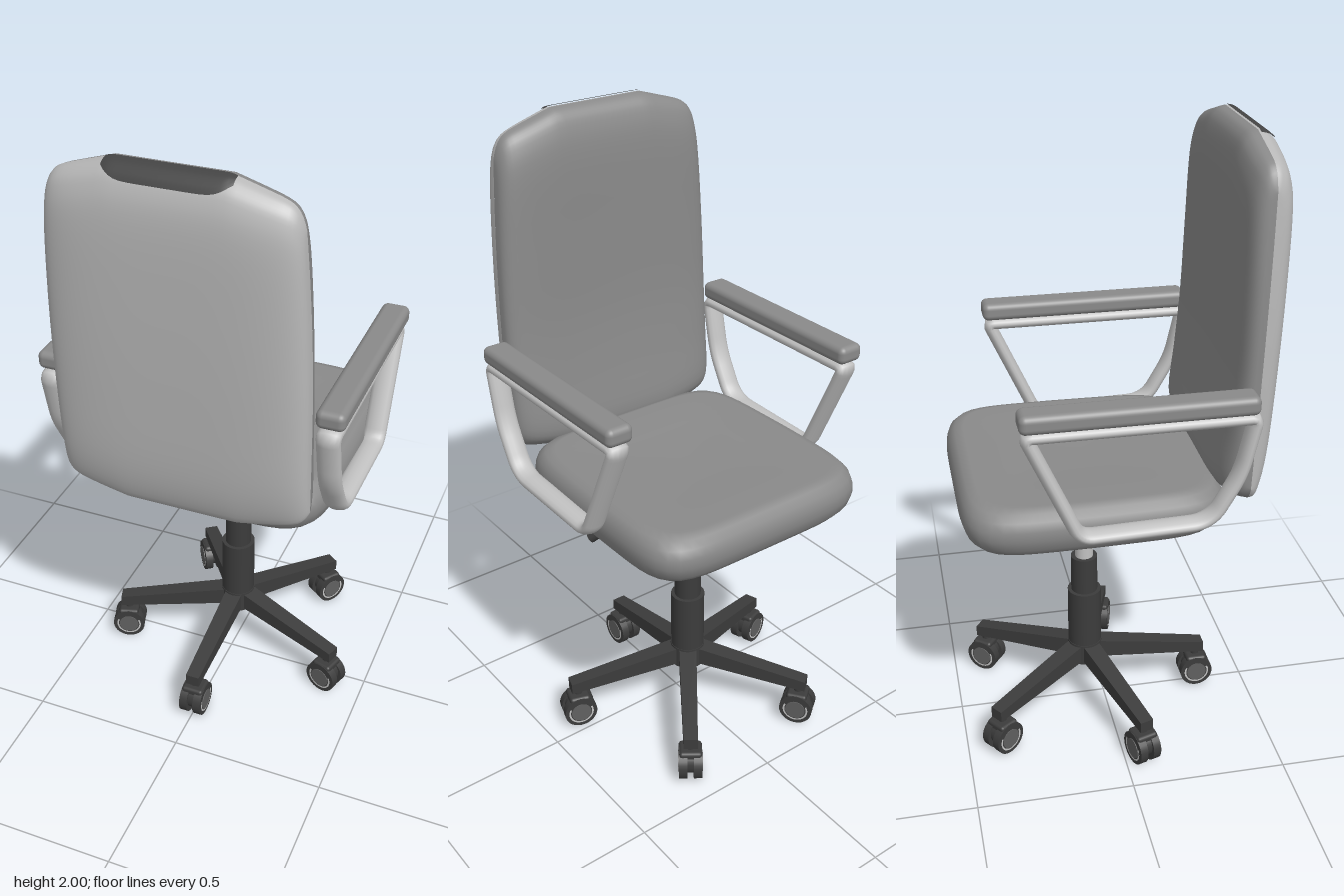
import * as THREE from 'three';
import { mergeVertices } from 'three/addons/utils/BufferGeometryUtils.js';
import { RoundedBoxGeometry } from 'three/addons/geometries/RoundedBoxGeometry.js';

const mat = (name, color) => new THREE.MeshStandardMaterial({ name, color });
const M = {
  cushion: mat('cushion grey', 0x8a8a8a),
  shell: mat('light shell grey', 0xb8b8b8),
  metal: mat('pale metal', 0xc2c2c2),
  dark: mat('dark plastic', 0x3c3c3c),
  patch: mat('head patch', 0x444444),
  hub: mat('wheel hub grey', 0x606060),
};
const v3 = (x, y, z) => new THREE.Vector3(x, y, z);

function add(parent, name, geometry, material, x = 0, y = 0, z = 0) {
  const m = new THREE.Mesh(geometry, material);
  m.name = name;
  m.position.set(x, y, z);
  parent.add(m);
  return m;
}

// Smooth surface from a rule fn(u, v) -> [x, y, z]
function surface(fn, nu, nv, flip = false) {
  const pos = [], idx = [];
  for (let j = 0; j <= nv; j++)
    for (let i = 0; i <= nu; i++) pos.push(...fn(i / nu, j / nv));
  for (let j = 0; j < nv; j++)
    for (let i = 0; i < nu; i++) {
      const a = j * (nu + 1) + i, b = a + 1, c = a + nu + 1, d = c + 1;
      idx.push(...(flip ? [a, d, b, a, c, d] : [a, b, d, a, d, c]));
    }
  let g = new THREE.BufferGeometry();
  g.setAttribute('position', new THREE.Float32BufferAttribute(pos, 3));
  g.setIndex(idx);
  g = mergeVertices(g, 1e-5);
  g.computeVertexNormals();
  return g;
}

// Cylinder between two points
function rod(parent, name, a, b, r0, r1, material, sides = 20) {
  const d = b.clone().sub(a);
  const m = add(parent, name, new THREE.CylinderGeometry(r1, r0, d.length(), sides), material);
  m.position.copy(a).addScaledVector(d, 0.5);
  m.quaternion.setFromUnitVectors(v3(0, 1, 0), d.normalize());
  return m;
}

// Backrest profiles as (z, y), running bottom seam to top seam
const spline = pts => new THREE.SplineCurve(pts.map(p => new THREE.Vector2(...p)));
const rearProfile = spline([[0.37, 0.9], [0.41, 0.92], [0.445, 1.05], [0.465, 1.3], [0.48, 1.6],
  [0.485, 1.85], [0.467, 1.95], [0.435, 1.99], [0.405, 2.0]]);
const frontProfile = spline([[0.37, 0.9], [0.31, 0.92], [0.273, 0.98], [0.29, 1.15], [0.307, 1.35],
  [0.314, 1.6], [0.32, 1.85], [0.34, 1.95], [0.37, 1.99], [0.405, 2.0]]);

function backPoint(profile, a, t, front) {
  const p = profile.getPoint(t), k = Math.abs(a);
  const depth = Math.pow(Math.max(0, 1 - k ** 4), 1 / 3);
  const drop = 0.09 * Math.max(0, (k - 0.45) / 0.45) + 0.11 * k ** 24;
  const y = 1.45 + (p.y - 1.45) * (1 - drop * (p.y < 1.45 ? 0.7 : 1));
  const seam = 0.37 + (p.y - 0.9) * 0.032;
  const dish = front ? 0.02 * (1 - k * k) * Math.sin(Math.PI * t) : 0;
  const w = 0.39 - 0.028 * Math.max(0, (p.y - 1.2) / 0.8) ** 2;
  return [a * w, y, seam + (p.x - seam + dish) * depth];
}

function backrest() {
  const g = new THREE.Group();
  g.name = 'backrest';
  const across = u => u === 0 ? -1 : u === 1 ? 1 : Math.sin(Math.PI * (u - 0.5));
  add(g, 'backShell', surface((u, v) => backPoint(rearProfile, across(u), v, false), 40, 40), M.shell);
  add(g, 'backCushion', surface((u, v) => backPoint(frontProfile, across(u), v, true), 40, 40, true), M.cushion);
  // Dark patch hugging the rear top edge
  add(g, 'headPatch', surface((u, v) => {
    const s = 2 * u - 1, t0 = 0.76 + 0.1 * s ** 8;
    const [x, y, z] = backPoint(rearProfile, 0.5 * s, t0 + (1 - t0) * v, false);
    return [x, y + 0.003, z + 0.004];
  }, 24, 10), M.patch);
  return g;
}

// Pillow seat: rounded outline scaled along a cushion profile (scale, y)
function seat() {
  const rows = [[0, 0.82], [0.6, 0.82], [0.86, 0.823], [0.93, 0.832], [0.975, 0.855], [1, 0.89], [0.997, 0.92],
    [0.975, 0.948], [0.93, 0.968], [0.86, 0.977], [0.5, 0.968], [0, 0.96]];
  const n = 6, hx = 0.405, hz = 0.407;
  return surface((u, v) => {
    const [s, y] = rows[Math.round(v * (rows.length - 1))];
    const a = u === 1 ? 0 : u * Math.PI * 2, c = Math.cos(a), d = Math.sin(a);
    const r = s * (Math.abs(c / hx) ** n + Math.abs(d / hz) ** n) ** (-1 / n);
    const z = r * d - 0.078;
    return [r * c * (1 - 0.06 * Math.max(0, z + 0.1)), y, z];
  }, 88, rows.length - 1, true);
}

// Closed loop with rounded corners in the side plane, corners as (z, y, radius)
function roundedLoop(corners) {
  const path = new THREE.CurvePath(), n = corners.length;
  const bends = corners.map(([z, y, r], i) => {
    const p = v3(0, y, z), toward = j => {
      const q = corners[(j + n) % n];
      return p.clone().add(v3(0, q[1], q[0]).sub(p).setLength(r));
    };
    return [toward(i - 1), p, toward(i + 1)];
  });
  bends.forEach((b, i) => {
    path.add(new THREE.QuadraticBezierCurve3(...b));
    path.add(new THREE.LineCurve3(b[2], bends[(i + 1) % n][0]));
  });
  return path;
}

function armrest(side) {
  const g = new THREE.Group();
  g.name = side > 0 ? 'leftArmrest' : 'rightArmrest';
  const loop = roundedLoop([[0.362, 1.25, 0.02], [0.322, 1.07, 0.05], [0.235, 0.917, 0.06],
    [-0.155, 0.907, 0.04], [-0.308, 1.25, 0.02]]);
  const frame = new THREE.TubeGeometry(loop, 150, 0.021, 14, true);
  frame.scale(1.75, 1, 1);
  add(g, 'armFrame', frame, M.metal, side * 0.43);
  add(g, 'armPad', new RoundedBoxGeometry(0.088, 0.058, 0.69, 4, 0.02), M.cushion, side * 0.431, 1.297, 0.018);
  return g;
}

// Tilt mechanism, tension knob and height lever under the seat
function mechanism() {
  const g = new THREE.Group();
  g.name = 'mechanism';
  add(g, 'mountPlate', new THREE.BoxGeometry(0.17, 0.025, 0.27), M.dark, 0, 0.81, -0.095);
  const housing = new THREE.CylinderGeometry(0.09, 0.055, 0.06, 4);
  housing.rotateY(Math.PI / 4);
  add(g, 'housing', housing, M.dark, 0, 0.772, -0.065);
  rod(g, 'tensionKnob', v3(0, 0.685, -0.187), v3(0, 0.8, -0.16), 0.036, 0.03, M.dark);
  rod(g, 'leverRod', v3(0.03, 0.79, -0.04), v3(0.25, 0.788, -0.01), 0.007, 0.007, M.dark, 10);
  rod(g, 'leverBend', v3(0.25, 0.788, -0.01), v3(0.275, 0.768, 0.005), 0.008, 0.008, M.dark, 10);
  rod(g, 'leverPaddle', v3(0.262, 0.775, 0), v3(0.308, 0.728, 0.045), 0.014, 0.02, M.dark, 12);
  return g;
}

function caster() {
  const g = new THREE.Group();
  g.name = 'caster';
  const axial = (r, w, start = 0, len = Math.PI * 2) =>
    new THREE.CylinderGeometry(r, r, w, 28, 1, false, start, len).rotateZ(Math.PI / 2);
  add(g, 'stem', new THREE.CylinderGeometry(0.014, 0.014, 0.08, 12), M.dark, 0, 0.12, 0);
  add(g, 'hood', axial(0.045, 0.02), M.dark, 0, 0.066, 0);
  add(g, 'hoodTop', new RoundedBoxGeometry(0.074, 0.03, 0.07, 2, 0.01), M.dark, 0, 0.1, 0);
  for (const s of [-1, 1]) {
    add(g, 'wheel', axial(0.056, 0.027), M.dark, s * 0.024, 0.056, 0);
    add(g, 'wheelHub', axial(0.034, 0.004), M.hub, s * 0.038, 0.056, 0);
    const arc = new THREE.RingGeometry(0.037, 0.043, 28, 1, Math.PI * 0.85, Math.PI * 1.3);
    add(g, 'wheelRing', arc, M.metal, s * 0.0385, 0.056, 0).rotation.y = s * Math.PI / 2;
  }
  return g;
}

// Gas column and five-spoke base
function base() {
  const g = new THREE.Group();
  g.name = 'base';
  g.position.z = -0.065;
  const column = (name, r, y0, y1, m) =>
    add(g, name, new THREE.CylinderGeometry(r, r, y1 - y0, 32), m, 0, (y0 + y1) / 2, 0);
  column('piston', 0.03, 0.56, 0.78, M.metal);
  column('upperSleeve', 0.044, 0.43, 0.57, M.dark);
  column('lowerSleeve', 0.056, 0.235, 0.44, M.dark);
  column('baseHub', 0.058, 0.16, 0.236, M.dark);
  for (let i = 0; i < 5; i++) {
    const arm = new THREE.Group();
    arm.name = 'spokeWithCaster';
    arm.rotation.y = i * Math.PI * 2 / 5;
    // Spoke box tapers and slopes down towards its tip
    const geo = new THREE.BoxGeometry(1, 1, 1), p = geo.attributes.position;
    for (let k = 0; k < p.count; k++) {
      const t = p.getZ(k) + 0.5;
      p.setXYZ(k, p.getX(k) * (0.06 - 0.014 * t), 0.203 - 0.054 * t + p.getY(k) * (0.064 - 0.026 * t), 0.02 + 0.4 * t);
    }
    geo.computeVertexNormals();
    add(arm, 'spoke', geo, M.dark);
    const c = caster();
    c.position.z = 0.395;
    arm.add(c);
    g.add(arm);
  }
  return g;
}

export function createModel() {
  const chair = new THREE.Group();
  chair.name = 'officeChair';
  chair.add(backrest(), armrest(1), armrest(-1), mechanism(), base());
  add(chair, 'seat', seat(), M.cushion);
  return chair;
}
